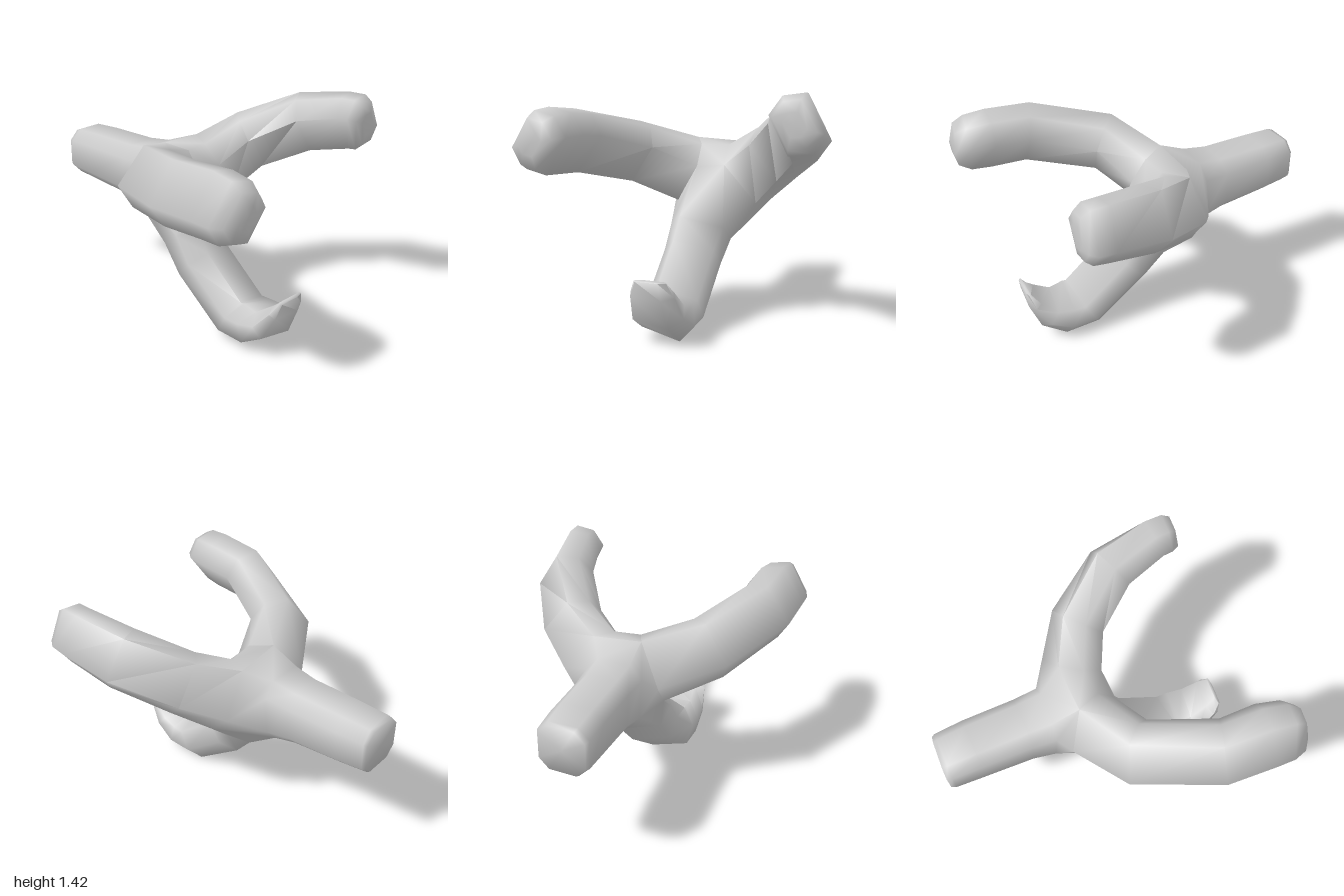
import * as THREE from 'three';
import { toCreasedNormals } from 'three/addons/utils/BufferGeometryUtils.js';
import { ConvexGeometry } from 'three/addons/geometries/ConvexGeometry.js';

const UP = new THREE.Vector3(0, 1, 0), ACROSS = new THREE.Vector3(1, 0, 0);

// Section corners in degrees: a hexagon with two long sides, and a chamfered square
const HEXAGON = [-45, 0, 45, 135, 180, 225];
const SQUARE = [30, 60, 120, 150, 210, 240, 300, 330];

// Each limb runs from the hub outwards through rings of
// [x, y, z, radius along ref, radius across]; roll turns its section, in degrees.
const LIMBS = [
  { // right talon
    ref: UP, section: HEXAGON, roll: -35, rings: [
      [-0.16, 0.93, -0.08, 0.215, 0.205],
      [-0.455, 1.05, 0.085, 0.195, 0.195],
      [-0.655, 1.14, 0.52, 0.19, 0.19],
      [-0.66, 1.155, 0.78, 0.19, 0.19],
      [-0.675, 1.15, 0.91, 0.18, 0.175],
      [-0.69, 1.15, 0.98, 0.14, 0.135],
      [-0.69, 1.15, 1, 0.07, 0.07],
    ],
  },
  { // left talon
    ref: UP, section: HEXAGON, roll: 29, rings: [
      [0.25, 0.925, -0.06, 0.22, 0.2],
      [0.45, 1.06, 0.06, 0.19, 0.19],
      [0.645, 1.2, 0.35, 0.187, 0.187],
      [0.7, 1.255, 0.64, 0.175, 0.16],
      [0.7, 1.26, 0.72, 0.17, 0.155],
      [0.7, 1.26, 0.765, 0.135, 0.125],
      [0.7, 1.26, 0.775, 0.07, 0.07],
    ],
  },
  { // lower talon, hooked up to a thin tip
    ref: ACROSS, section: HEXAGON, roll: -16, rings: [
      [-0.045, 0.55, 0.03, 0.195, 0.195],
      [-0.065, 0.4, 0.14, 0.18, 0.185],
      [-0.07, 0.15, 0.45, 0.177, 0.177],
      [-0.07, 0.147, 0.58, 0.177, 0.165],
      [-0.075, 0.195, 0.705, 0.165, 0.11],
      [-0.075, 0.32, 0.795, 0.14, 0.055],
      [-0.075, 0.4, 0.83, 0.1, 0.015],
    ],
  },
  { // stem with a flat end
    ref: ACROSS, section: SQUARE, roll: 0, rings: [
      [-0.015, 0.85, -0.33, 0.205, 0.24],
      [-0.015, 0.86, -0.48, 0.19, 0.205],
      [-0.025, 0.875, -0.8, 0.185, 0.187],
      [-0.035, 0.88, -0.975, 0.175, 0.175],
      [-0.035, 0.88, -1, 0.163, 0.163],
    ],
  },
];

// Sweeps one limb into the shared vertex and face lists, closing its outer end.
// Returns the ids of its inner ring.
function addLimb({ ref, section, roll, rings }, points, index) {
  const base = points.length, sides = section.length;
  const centres = rings.map(r => new THREE.Vector3(r[0], r[1], r[2]));
  rings.forEach(([, , , a, b], i) => {
    const t = centres[Math.min(i + 1, rings.length - 1)].clone()
      .sub(centres[Math.max(i - 1, 0)]).normalize();
    const n = ref.clone().addScaledVector(t, -ref.dot(t)).normalize();
    const s = t.clone().cross(n);
    for (const angle of section) {
      const q = THREE.MathUtils.degToRad(angle + roll);
      points.push(centres[i].clone()
        .addScaledVector(n, a * Math.cos(q))
        .addScaledVector(s, b * Math.sin(q)));
    }
  });
  const last = base + (rings.length - 1) * sides;
  const end = points.push(centres[centres.length - 1]) - 1;
  for (let j = 0; j < sides; j++) {
    const k = (j + 1) % sides;
    for (let o = base; o < last; o += sides) {
      index.push(o + j, o + k, o + sides + j, o + k, o + sides + k, o + sides + j);
    }
    index.push(end, last + j, last + k);
  }
  return section.map((_, j) => base + j);
}

// Joins the inner rings of all limbs with a convex skin, leaving the limb openings out.
function addHub(innerRings, points, index) {
  const ids = innerRings.flat();
  const hull = new ConvexGeometry(ids.map(i => points[i])).attributes.position;
  const v = new THREE.Vector3();
  const idAt = i => {
    v.fromBufferAttribute(hull, i);
    return ids.find(id => points[id].distanceTo(v) < 1e-5);
  };
  const limbOf = id => innerRings.findIndex(ring => ring.includes(id));
  for (let i = 0; i < hull.count; i += 3) {
    const face = [idAt(i), idAt(i + 1), idAt(i + 2)];
    if (new Set(face.map(limbOf)).size > 1) index.push(...face);
  }
}

export function createModel() {
  const group = new THREE.Group();
  group.name = 'claw';
  const points = [], index = [];
  const innerRings = LIMBS.map(l => addLimb(l, points, index));
  addHub(innerRings, points, index);

  const geo = new THREE.BufferGeometry().setFromPoints(points);
  geo.setIndex(index);
  const mesh = new THREE.Mesh(
    toCreasedNormals(geo, 1.3),
    new THREE.MeshStandardMaterial({ color: 0xcccccc }),
  );
  mesh.name = 'talonsAndStem';
  group.add(mesh);
  return group;
}
